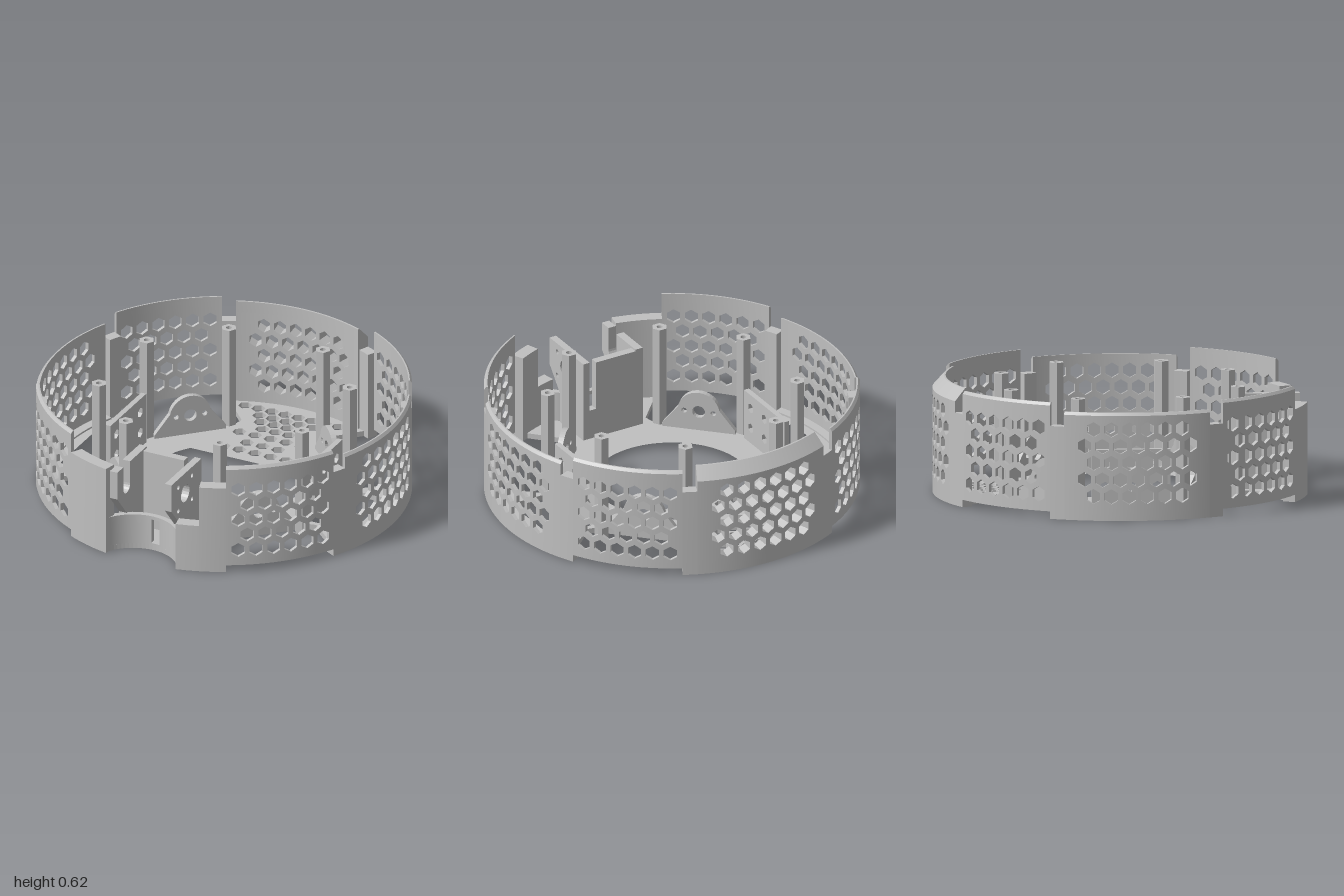
import * as THREE from 'three';
import { mergeGeometries, toCreasedNormals } from 'three/addons/utils/BufferGeometryUtils.js';

const grey = new THREE.MeshStandardMaterial({ color: 0xc0c0c0 });
grey.name = 'printed grey';
const DEG = Math.PI / 180;
const STEP = 0.048; // half the spacing of the hexagon holes, in radians
const ZC = 0.01; // centre of the ring

export function createModel() {
  const model = new THREE.Group();

  const add = (name, geometry, parent = model) => {
    const mesh = new THREE.Mesh(geometry, grey);
    mesh.name = name;
    parent.add(mesh);
    return mesh;
  };
  const polygon = (pts) => new THREE.Shape(pts.map(([x, y]) => new THREE.Vector2(x, y)));
  const ngon = (x, y, r, n, turn = 0) => polygon(Array.from({ length: n }, (_, i) => {
    const a = (i / n) * Math.PI * 2 + turn;
    return [x + r * Math.cos(a), y + r * Math.sin(a)];
  }));
  const extrude = (shape, depth, holes = []) => {
    shape.holes.push(...holes);
    return new THREE.ExtrudeGeometry(shape, { depth, bevelEnabled: false });
  };
  // shape drawn in x, z and raised to a height
  const slab = (shape, height, holes) =>
    extrude(shape, height, holes).rotateX(Math.PI / 2).translate(0, height, 0);
  // shape drawn in z, y and standing between x - thickness and x
  const sidePlate = (shape, thickness, x, holes) =>
    extrude(shape, thickness, holes).rotateY(-Math.PI / 2).translate(x, 0, 0);

  // Curved wall, made of narrow strips whose edges carry half hexagons.
  // Angles in degrees from the front, towards +x. taper pulls in the outer top edge.
  function wall(name, a0, a1, y0, y1, rIn, rOut, { hexes = 0, taper = 0, z = ZC } = {}) {
    const centre = (a0 + a1) / 2 * DEG, half = (a1 - a0) / 2 * DEG;
    const n = Math.ceil(half / STEP);
    const r = 0.041, w = r * 0.866;
    const rows = (k) => {
      const ys = [];
      for (let i = 4; i >= 0 && hexes; i--) {
        const odd = Math.abs(k) % 2 === 1;
        if (i % 2 ? !odd && Math.abs(k) <= hexes : odd && Math.abs(k) <= 5) ys.push(0.49 - 0.09 * i);
      }
      return ys;
    };
    const strips = [];
    for (let k = -n; k < n; k++) {
      const u0 = Math.max(k * STEP, -half), u1 = Math.min((k + 1) * STEP, half);
      const pts = [[u0, y0], [u1, y0]];
      for (const y of rows(k + 1)) pts.push([u1, y - r], [u1 - w, y - r / 2], [u1 - w, y + r / 2], [u1, y + r]);
      pts.push([u1, y1], [u0, y1]);
      for (const y of rows(k).reverse()) pts.push([u0, y + r], [u0 + w, y + r / 2], [u0 + w, y - r / 2], [u0, y - r]);
      strips.push(extrude(polygon(pts), rOut - rIn));
    }
    const geo = mergeGeometries(strips);
    const p = geo.attributes.position;
    for (let i = 0; i < p.count; i++) {
      const a = centre + p.getX(i), y = p.getY(i), d = p.getZ(i);
      const pull = d > 1e-4 && y > y1 - 1e-4 ? taper : 0;
      p.setXYZ(i, Math.sin(a) * (rIn + d - pull), y, Math.cos(a) * (rIn + d - pull) + z);
    }
    return add(name, toCreasedNormals(geo, 0.3));
  }

  // Floor plate: four flared arms around an octagon
  const outline = [];
  for (let arm = 0; arm < 4; arm++) {
    const c = arm * 90 * DEG;
    const put = (t, d) => outline.push([d * Math.sin(c) + t * Math.cos(c), d * Math.cos(c) - t * Math.sin(c) + ZC]);
    const arc = (from, to) => {
      for (let i = 0; i <= 12; i++) {
        const a = (from + (to - from) * i / 12) * DEG;
        put(0.985 * Math.sin(a), 0.985 * Math.cos(a));
      }
    };
    put(-0.25, 0.6); put(-0.235, 0.67); put(-0.42, 0.87);
    if (arm === 0) {
      // round bite out of the front arm
      arc(-26, -12.3);
      for (let i = 0; i <= 24; i++) {
        const a = (153 - 126 * i / 24) * DEG;
        put(0.235 * Math.cos(a), 1.07 - 0.235 * Math.sin(a));
      }
      arc(12.3, 26);
    } else arc(-26, 26);
    put(0.42, 0.87); put(0.235, 0.67); put(0.25, 0.6);
  }
  const centreHole = [];
  for (let i = 0; i <= 60; i++) {
    const a = (-128 + 256 * i / 60) * DEG;
    centreHole.push([0.42 * Math.sin(a), 0.42 * Math.cos(a) + ZC]);
  }
  const floorHoles = [polygon(centreHole)];
  for (const s of [-1, 1]) {
    floorHoles.push(polygon([[s * 0.6, -0.2], [s * 0.87, -0.2], [s * 0.87, 0.22], [s * 0.6, 0.22]]));
  }
  // rows of floor vents: z, first x, spacing, count
  for (const [z, x, gap, count] of [
    [-0.82, -0.295, 0.079, 8], [-0.75, -0.175, 0.079, 5], [-0.685, -0.135, 0.079, 4], [-0.615, -0.09, 0.079, 3],
    [-0.535, -0.185, 0.093, 5], [-0.44, -0.092, 0.093, 3], [-0.35, -0.185, 0.093, 5],
  ]) for (let i = 0; i < count; i++) floorHoles.push(ngon(x + i * gap, z, 0.038, 6, Math.PI / 6));
  add('floorPlate', slab(polygon(outline), 0.03, floorHoles));

  // Vented wall panels
  for (const c of [45, 135, 225, 315]) {
    wall('cornerPanel', c - 17.5, c + 17.5, 0.04, 0.61, 0.98, 1, { hexes: 4 });
    wall('cornerPanelRim', c - 17.5, c + 17.5, 0.61, 0.625, 0.98, 1, { taper: 0.012 });
  }
  for (const c of [90, 270]) {
    wall('sidePanel', c - 23, c + 23, 0, 0.565, 0.98, 1, { hexes: 6 });
    wall('sidePanelRim', c - 23, c + 23, 0.565, 0.58, 0.98, 1, { taper: 0.012 });
    wall('sideFoot', c - 23, c + 23, 0, 0.04, 0.93, 0.98);
  }
  wall('backPanel', 157, 203, 0, 0.56, 0.93, 1, { hexes: 6 });
  wall('backPanelRim', 157, 203, 0.56, 0.625, 0.93, 1, { taper: 0.06 });

  // Lower joints between the panels
  for (const c of [90, 180, 270]) for (const s of [-1, 1]) {
    const mid = c + s * 25.25;
    wall('panelJoint', mid - 2.25, mid + 2.25, 0, 0.5, 0.94, 1);
  }

  // Front walls beside the opening
  wall('frontWallRight', -27.5, -12, 0, 0.5, 0.93, 1);
  wall('frontWallLeft', 19.3, 27.5, 0, 0.5, 0.93, 1);
  wall('frontWallLeftLow', 12, 19.3, 0, 0.27, 0.93, 1);

  // Concave front wall with an upright slot
  for (const [a0, a1, y0, y1] of [[117, 170, 0, 0.2], [182, 243, 0, 0.2], [170, 182, 0, 0.04], [170, 182, 0.18, 0.2]]) {
    wall('concaveWall', a0, a1, y0, y1, 0.235, 0.265, { z: 1.08 });
  }

  // Front box: side walls with a sloping underside above the concave wall
  const boxSide = (top) => polygon([[0.63, 0], [0.87, 0], [0.87, 0.2], [0.98, 0.33], [0.98, 0.49], ...top, [0.63, 0.49]]);
  const notch = [[0.91, 0.49]];
  for (let i = 0; i <= 10; i++) {
    const a = Math.PI * i / 10;
    notch.push([0.87 + 0.04 * Math.cos(a), 0.36 - 0.04 * Math.sin(a)]);
  }
  notch.push([0.83, 0.49]);
  add('boxNotchedWall', sidePlate(boxSide(notch), 0.045, -0.143));
  const motorHoles = [ngon(0.82, 0.37, 0.05, 20)];
  for (const dz of [-0.08, 0.08]) for (const dy of [-0.07, 0.07]) motorHoles.push(ngon(0.82 + dz, 0.37 + dy, 0.014, 10));
  add('boxMotorPlate', sidePlate(boxSide([]), 0.04, 0.18, motorHoles));
  add('boxBackWall', new THREE.BoxGeometry(0.28, 0.48, 0.045).translate(-0.04, 0.24, 0.6525));
  add('boxBackSill', new THREE.BoxGeometry(0.06, 0.2, 0.045).translate(0.12, 0.1, 0.6525));

  // Hexagonal standoffs with screw holes
  for (const sx of [-1, 1]) for (const sz of [-1, 1]) for (const [x, z] of [[0.28, 0.605], [0.605, 0.28]]) {
    add('standoff', slab(ngon(0, 0, 0.042, 6), 0.6, [ngon(0, 0, 0.016, 12)])).position.set(sx * x, 0, sz * z + 0.005);
  }

  // Upright plates inside the side windows
  for (const s of [-1, 1]) {
    const holes = [];
    for (const z of [-0.13, 0.01, 0.15]) for (const y of [0.12, 0.24]) holes.push(ngon(z, y, 0.028, 6, Math.PI / 6));
    const shape = polygon([[-0.2, 0.03], [0.22, 0.03], [0.22, 0.32], [-0.2, 0.32]]);
    add('sideMountPlate', sidePlate(shape, 0.03, s > 0 ? 0.6 : -0.57, holes));
  }

  // Round-topped motor brackets on the diagonals
  for (const a of [45, 135, 225, 315]) {
    const pts = [[-0.2, 0], [0.2, 0], [0.2, 0.05]];
    for (let i = 0; i <= 16; i++) {
      const t = (10 + 160 * i / 16) * DEG;
      pts.push([0.115 * Math.cos(t), 0.14 + 0.115 * Math.sin(t)]);
    }
    pts.push([-0.2, 0.05]);
    const holes = [ngon(0, 0.14, 0.035, 18), ngon(-0.08, 0.14, 0.015, 10), ngon(0.08, 0.14, 0.015, 10)];
    const bracket = add('motorBracket', extrude(polygon(pts), 0.03, holes).translate(0, 0, 0.575));
    bracket.rotation.y = a * DEG;
    bracket.position.z = ZC;
  }

  return model;
}
